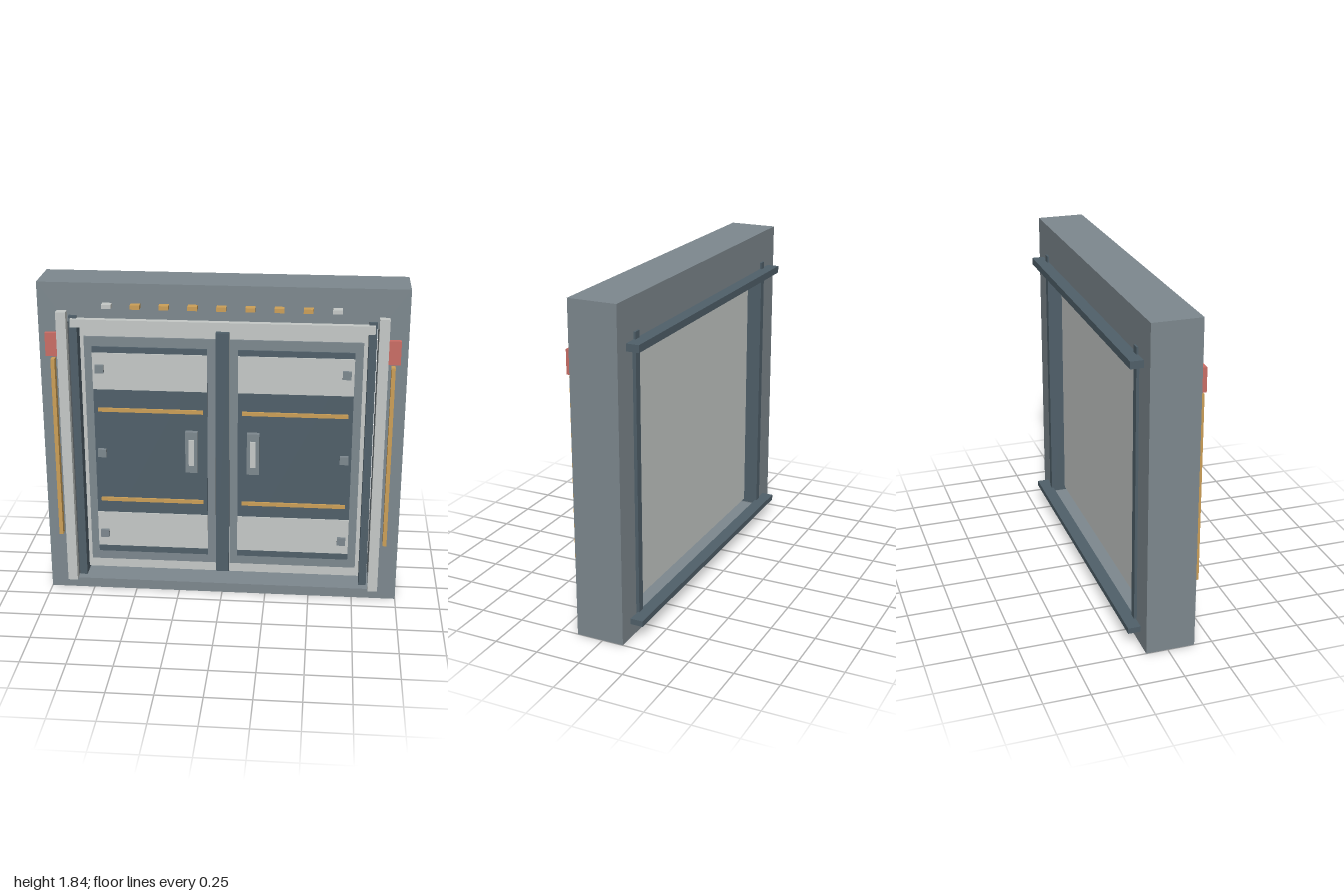
import * as THREE from 'three';

export function createModel() {
  const root = new THREE.Group();
  root.name = 'doubleDoorGate';
  const mat = (name, color) => {
    const m = new THREE.MeshStandardMaterial({ color });
    m.name = name;
    return m;
  };
  const grey = mat('steelGrey', 0x7e898f);
  const dark = mat('darkSlate', 0x50606a);
  const light = mat('paleGrey', 0xc6cac8);
  const gold = mat('amber', 0xcda058);
  const red = mat('signalRed', 0xcb6e66);

  // box given by its limits on each axis
  const box = (name, m, x0, x1, y0, y1, z0, z1, parent = root) => {
    const mesh = new THREE.Mesh(new THREE.BoxGeometry(x1 - x0, y1 - y0, z1 - z0), m);
    mesh.position.set((x0 + x1) / 2, (y0 + y1) / 2, (z0 + z1) / 2);
    mesh.name = name;
    parent.add(mesh);
  };
  // same box on both sides of x = 0
  const pair = (name, m, x0, x1, ...rest) => {
    box(name + 'Left', m, x0, x1, ...rest);
    box(name + 'Right', m, -x1, -x0, ...rest);
  };

  // wall block with the doorway cut through
  const outline = (Type, x, y0, y1) => new Type([
    new THREE.Vector2(-x, y0), new THREE.Vector2(x, y0),
    new THREE.Vector2(x, y1), new THREE.Vector2(-x, y1)]);
  const wallShape = outline(THREE.Shape, 1, 0, 1.835);
  wallShape.holes.push(outline(THREE.Path, 0.845, 0.057, 1.617));
  const wall = new THREE.Mesh(
    new THREE.ExtrudeGeometry(wallShape, { depth: 0.27, bevelEnabled: false }), grey);
  wall.position.z = -0.12;
  wall.name = 'wall';
  root.add(wall);

  // rear rails, door posts and pale front trim
  box('topRail', dark, -0.91, 0.91, 1.577, 1.617, -0.19, -0.12);
  box('bottomRail', dark, -0.91, 0.91, 0.08, 0.112, -0.19, -0.12);
  pair('doorPost', dark, 0.787, 0.83, 0.09, 1.655, -0.13, 0.165);
  pair('sideTrim', light, 0.84, 0.895, 0.066, 1.68, 0.15, 0.195);
  box('lintel', light, -0.82, 0.82, 1.595, 1.64, 0.15, 0.187);

  // door backing and centre post
  box('doorBacking', light, -0.8, 0.8, 0.108, 1.586, -0.045, 0.09);
  box('centrePost', dark, -0.037, 0.037, 0.122, 1.562, 0.08, 0.123);

  // door leaves
  pair('leafFrame', grey, 0.04, 0.765, 0.165, 1.52, 0.085, 0.1);
  pair('leafPanel', dark, 0.085, 0.72, 0.22, 1.465, 0.095, 0.11);
  pair('upperBand', light, 0.085, 0.72, 1.22, 1.432, 0.108, 0.116);
  pair('lowerBand', light, 0.085, 0.72, 0.26, 0.472, 0.108, 0.116);
  for (const y of [0.555, 1.1]) pair('leafStripe', gold, 0.108, 0.695, y - 0.011, y + 0.011, 0.108, 0.12);
  for (const y of [0.342, 0.842, 1.342]) pair('bolt', grey, 0.656, 0.704, y - 0.023, y + 0.023, 0.108, 0.133);
  pair('handlePlate', grey, 0.138, 0.207, 0.745, 0.988, 0.108, 0.14);
  pair('handleGrip', light, 0.157, 0.187, 0.79, 0.945, 0.138, 0.148);

  // side strips and warning blocks
  pair('sideStrip', gold, 0.913, 0.935, 0.355, 1.412, 0.15, 0.19);
  pair('warningBlock', red, 0.895, 0.96, 1.43, 1.562, 0.163, 0.19);

  // row of lamps above the door
  for (let i = -4; i <= 4; i++) {
    const x = i * 0.1545;
    box('lamp', Math.abs(i) === 4 ? light : gold, x - 0.026, x + 0.026, 1.704, 1.727, 0.15, 0.195);
  }
  return root;
}
